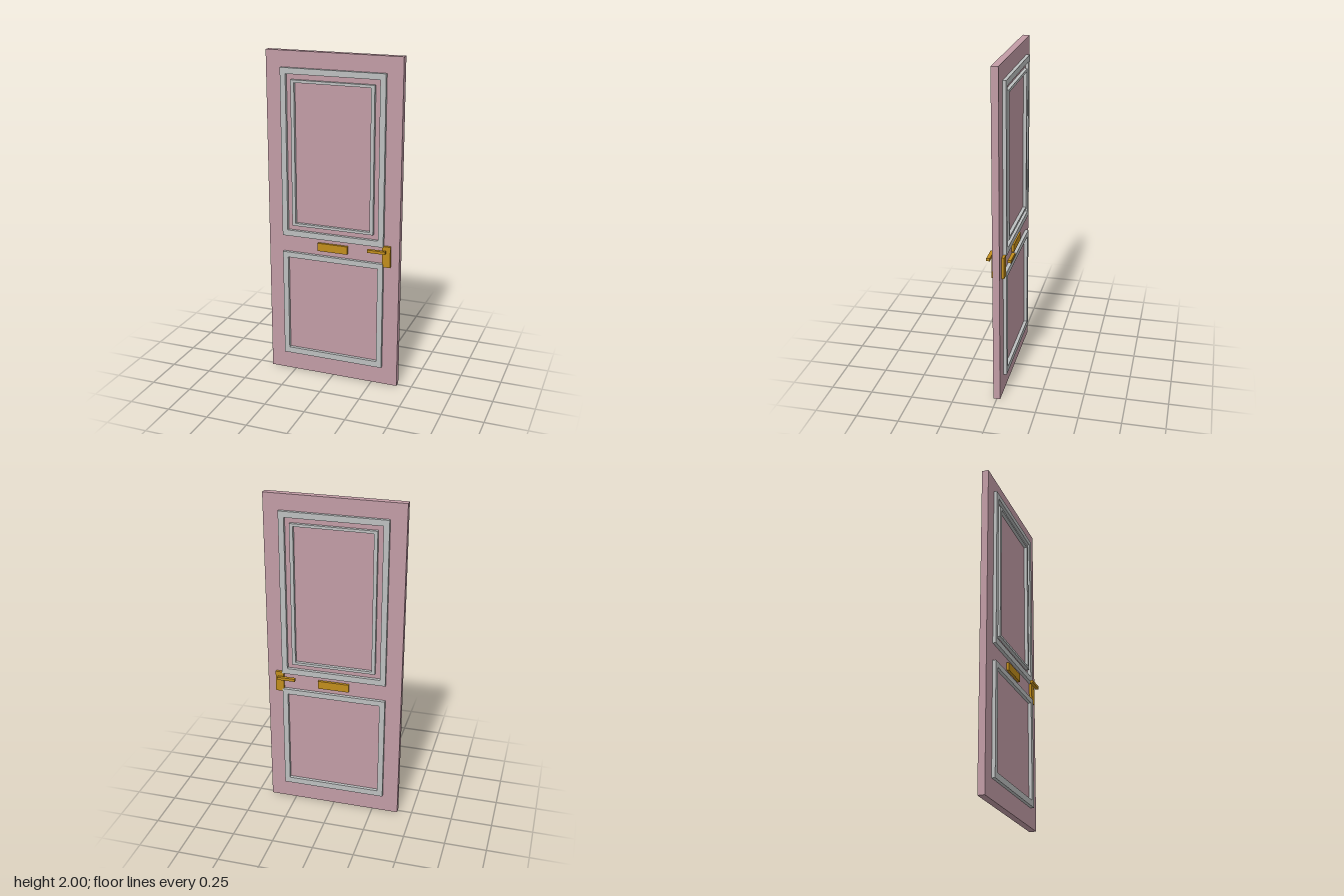
import * as THREE from 'three';

const pink = new THREE.MeshStandardMaterial({ name: 'dustyPink', color: 0xc29ca6 });
const grey = new THREE.MeshStandardMaterial({ name: 'paleGrey', color: 0xbdc0c0 });
const brass = new THREE.MeshStandardMaterial({ name: 'brass', color: 0xc18d1c });

const HALF = 0.0205; // half the thickness of the door slab

// Box given by its extents along each axis
function box(name, material, [x0, x1], [y0, y1], [z0, z1]) {
  const mesh = new THREE.Mesh(new THREE.BoxGeometry(x1 - x0, y1 - y0, z1 - z0), material);
  mesh.position.set((x0 + x1) / 2, (y0 + y1) / 2, (z0 + z1) / 2);
  mesh.name = name;
  return mesh;
}

function rectangle(path, w, y0, y1) {
  path.moveTo(-w, y0);
  path.lineTo(w, y0);
  path.lineTo(w, y1);
  path.lineTo(-w, y1);
  path.closePath();
  return path;
}

// Rectangular moulding with an open middle, standing on the slab face
function moulding(name, outer, inner, depth) {
  const shape = rectangle(new THREE.Shape(), ...outer);
  shape.holes.push(rectangle(new THREE.Path(), ...inner));
  const geometry = new THREE.ExtrudeGeometry(shape, { depth, bevelEnabled: false });
  const mesh = new THREE.Mesh(geometry, grey);
  mesh.position.z = HALF;
  mesh.name = name;
  return mesh;
}

export function createModel() {
  const door = new THREE.Group();
  door.name = 'door';
  door.add(box('slab', pink, [-0.411, 0.411], [0, 2], [-HALF, HALF]));

  // Both faces carry the same fittings; the back is a mirrored position
  for (const side of [1, -1]) {
    const face = new THREE.Group();
    face.name = side > 0 ? 'frontFittings' : 'backFittings';
    const z = (a, b) => (side > 0 ? [a, b] : [-b, -a]);

    // Panel mouldings: half width, bottom, top
    const mouldings = [
      moulding('upperMoulding', [0.317, 0.894, 1.905], [0.284, 0.93, 1.87], 0.02),
      moulding('upperInnerMoulding', [0.253, 0.962, 1.838], [0.232, 0.978, 1.822], 0.02),
      moulding('lowerMoulding', [0.317, 0.115, 0.789], [0.284, 0.152, 0.756], 0.02),
    ];
    for (const m of mouldings) {
      if (side < 0) m.rotation.y = Math.PI;
      m.position.z = side * HALF;
      face.add(m);
    }

    // Letter plate, lock plate and free-standing lever
    face.add(
      box('letterPlate', brass, [-0.094, 0.094], [0.819, 0.868], z(HALF, 0.0365)),
      box('lockPlate', brass, [0.31, 0.36], [0.771, 0.9], z(HALF, 0.0365)),
      box('lever', brass, [0.229, 0.339], [0.863, 0.88], z(0.052, 0.0725)),
    );
    door.add(face);
  }
  return door;
}
